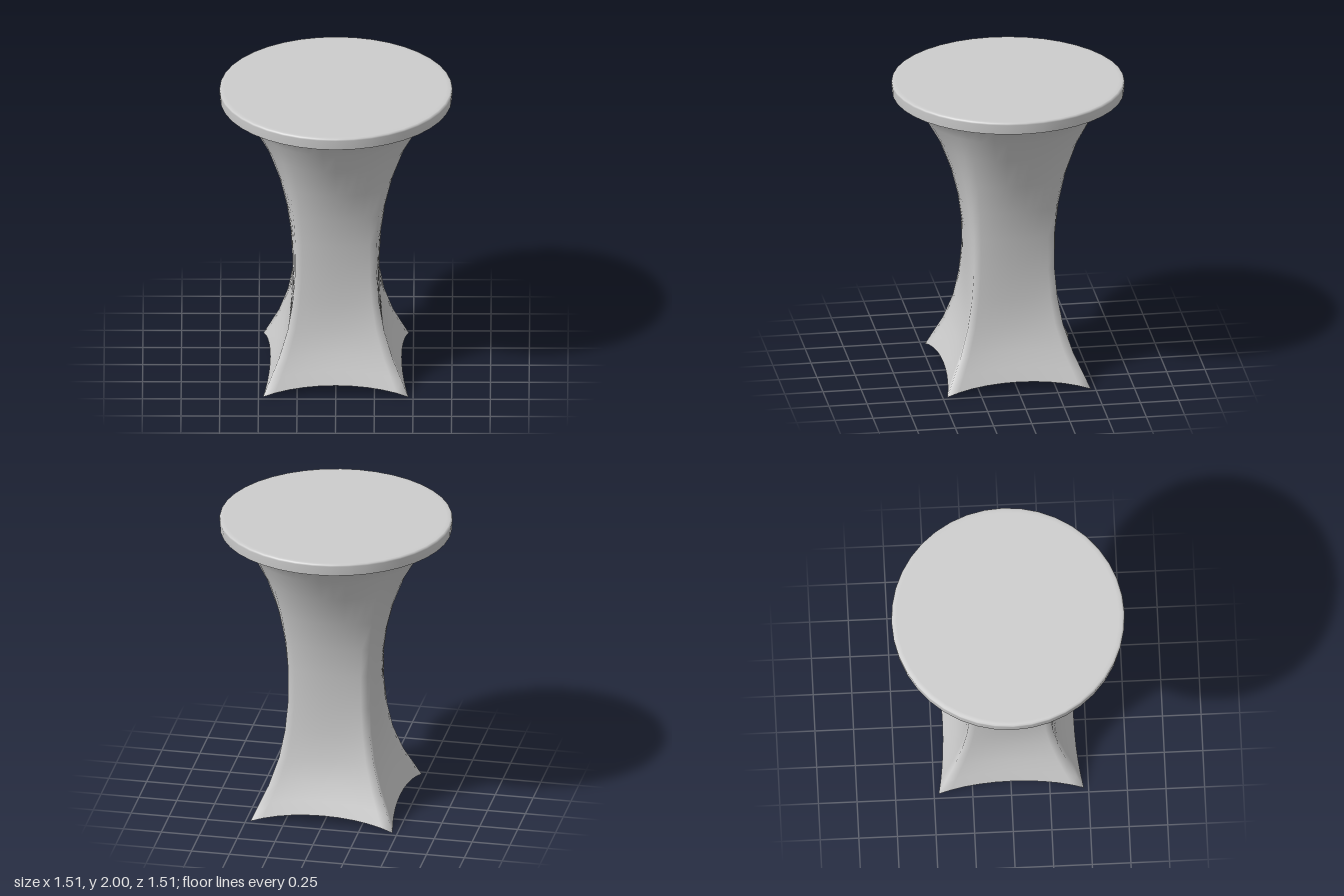
import * as THREE from 'three';

const SEGMENTS = 40; // ten columns per side of the cover

// Height, corner half-width, and mid-side half-width of the stretched cover
const SECTIONS = [
  [0, 0.47, 0.425], [0.1, 0.425, 0.39], [0.22, 0.37, 0.345], [0.4, 0.312, 0.3],
  [0.58, 0.28, 0.283], [0.77, 0.264, 0.28], [1.0, 0.262, 0.293], [1.2, 0.274, 0.322],
  [1.4, 0.297, 0.372], [1.61, 0.338, 0.452], [1.77, 0.385, 0.545], [1.87, 0.425, 0.605],
  [1.895, 0.47, 0.665], [1.92, 0.53, 0.75],
];

// Four-sided fabric skirt that blends from a pinched square into a circle
function skirtGeometry() {
  const positions = [];
  const indices = [];
  const perSide = SEGMENTS / 4;
  for (const [height, corner, middle] of SECTIONS) {
    for (let i = 0; i < SEGMENTS; i++) {
      const side = Math.floor(i / perSide);
      const a = -Math.PI / 4 + ((i % perSide) / perSide) * Math.PI / 2;
      const x = corner * Math.sin(a) / Math.SQRT1_2;
      const bend = (1 - Math.cos(a)) / (1 - Math.SQRT1_2);
      const z = middle + (corner - middle) * bend;
      // Arched hem between the four feet, fading out upwards
      const arch = 0.06 * (1 - bend) * Math.max(0, 1 - height / 0.4);
      const turn = side * Math.PI / 2;
      positions.push(
        x * Math.cos(turn) + z * Math.sin(turn),
        height + arch,
        z * Math.cos(turn) - x * Math.sin(turn),
      );
    }
  }
  for (let r = 0; r < SECTIONS.length - 1; r++) {
    for (let i = 0; i < SEGMENTS; i++) {
      const j = (i + 1) % SEGMENTS;
      const a = r * SEGMENTS + i, b = r * SEGMENTS + j;
      const c = b + SEGMENTS, d = a + SEGMENTS;
      indices.push(a, b, c, a, c, d);
    }
  }
  const geometry = new THREE.BufferGeometry();
  geometry.setAttribute('position', new THREE.Float32BufferAttribute(positions, 3));
  geometry.setIndex(indices);
  geometry.computeVertexNormals();
  return geometry;
}

export function createModel() {
  const group = new THREE.Group();
  group.name = 'coveredTable';
  const fabric = new THREE.MeshStandardMaterial({ color: 0xcccccc, side: THREE.DoubleSide });
  fabric.name = 'greyFabric';

  const skirt = new THREE.Mesh(skirtGeometry(), fabric);
  skirt.name = 'stretchSkirt';
  group.add(skirt);

  // Round top with a softly rounded edge
  const profile = [[0.75, 1.92], [0.755, 1.985], [0.752, 1.995], [0.742, 2], [0.72, 2], [0, 2]]
    .map(([x, y]) => new THREE.Vector2(x, y));
  const top = new THREE.Mesh(new THREE.LatheGeometry(profile, SEGMENTS), fabric);
  top.name = 'tableTop';
  group.add(top);

  return group;
}
